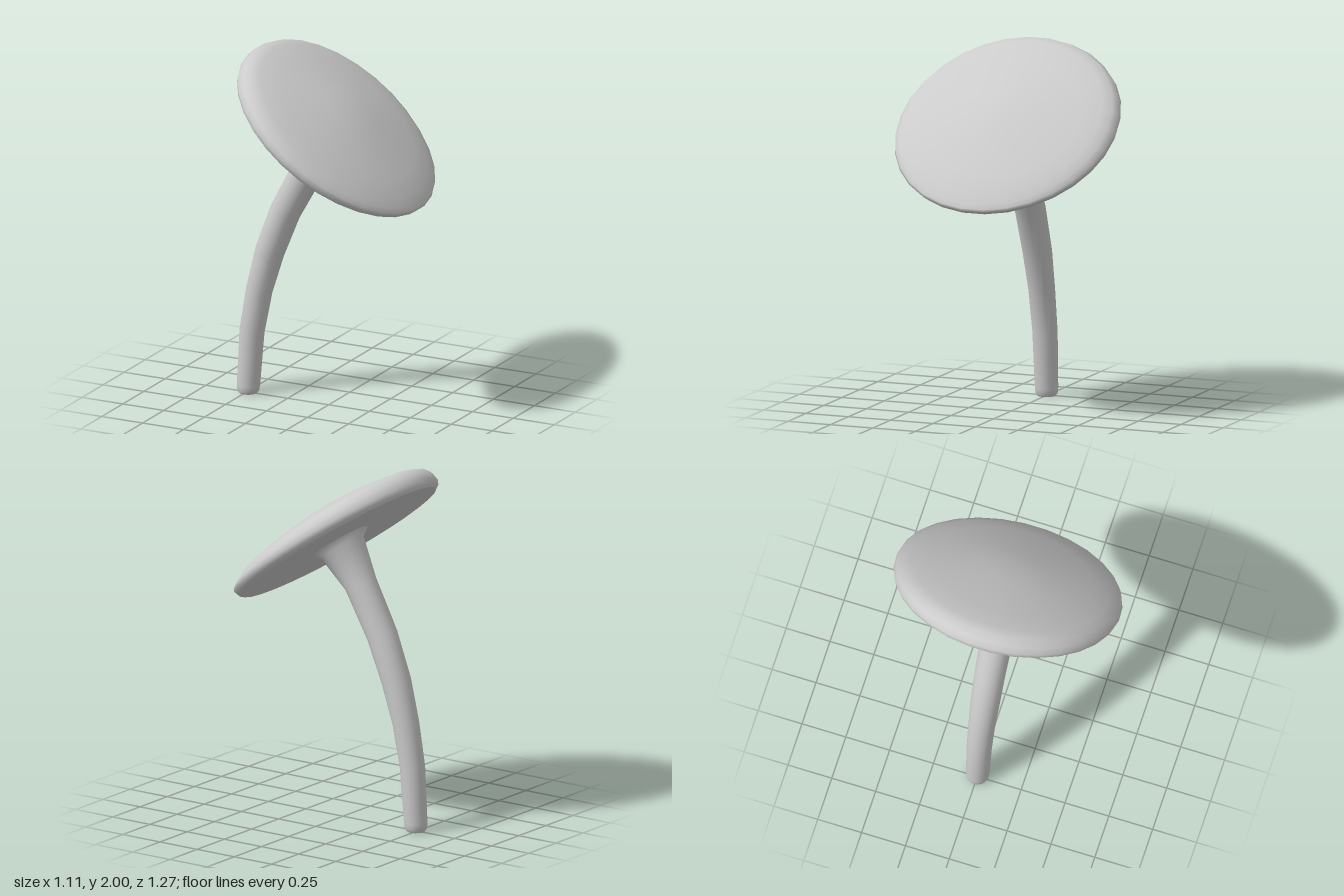
import * as THREE from 'three';
import { mergeVertices } from 'three/addons/utils/BufferGeometryUtils.js';

const material = new THREE.MeshStandardMaterial({ color: 0xcccccc });

// Weld seams and recompute smooth normals
function smooth(geometry) {
  geometry.deleteAttribute('uv');
  geometry.deleteAttribute('normal');
  const welded = mergeVertices(geometry, 1e-4);
  welded.computeVertexNormals();
  return welded;
}

function part(name, geometry) {
  const mesh = new THREE.Mesh(geometry, material);
  mesh.name = name;
  return mesh;
}

function lathe(points) {
  return new THREE.LatheGeometry(points.map(([r, y]) => new THREE.Vector2(r, y)), 30);
}

// Tilted cap: domed top, rounded rim, flat underside
function createCap() {
  const cap = new THREE.Group();
  cap.name = 'cap';
  const dome = lathe([
    [0.602, -0.045], [0.622, -0.03], [0.633, -0.005], [0.626, 0.022], [0.6, 0.046],
    [0.55, 0.07], [0.45, 0.094], [0.32, 0.117], [0.16, 0.142], [0, 0.152],
  ]);
  // The raised side is a little fuller than the lowered side
  const p = dome.attributes.position;
  for (let i = 0; i < p.count; i++) {
    const lift = THREE.MathUtils.clamp(p.getY(i) / 0.045, 0, 1);
    p.setY(i, p.getY(i) - 0.045 * p.getX(i) * lift);
  }
  cap.add(part('capTop', smooth(dome)));
  cap.add(part('capUnderside', smooth(lathe([[0, -0.045], [0.602, -0.045]]))));
  cap.position.set(0.05, 1.58, 0);
  cap.rotation.z = -THREE.MathUtils.degToRad(36.9);
  return cap;
}

// Curved stem: round sections [x, y, radius, lean in degrees], top to bottom
function createStem() {
  const sections = [
    [0.032, 1.556, 0.185, 37], [0.024, 1.545, 0.177, 37], [0.0, 1.515, 0.13, 38],
    [-0.12, 1.333, 0.09, 29], [-0.265, 1.066, 0.085, 25], [-0.36, 0.823, 0.081, 18],
    [-0.423, 0.598, 0.073, 11], [-0.468, 0.357, 0.069, 5], [-0.49, 0.045, 0.064, 2],
    [-0.491, 0.015, 0.06, 0], [-0.491, 0, 0.05, 0],
  ];
  const sides = 20;
  const tube = new THREE.CylinderGeometry(1, 1, 1, sides, sections.length - 1, true);
  const p = tube.attributes.position;
  for (let i = 0; i < p.count; i++) {
    const [x, y, r, lean] = sections[Math.floor(i / (sides + 1))];
    const a = THREE.MathUtils.degToRad(lean);
    const u = p.getX(i) * r;
    p.setXYZ(i, x + u * Math.cos(a), y - u * Math.sin(a), p.getZ(i) * r);
  }
  const stem = new THREE.Group();
  stem.name = 'stem';
  const foot = new THREE.CircleGeometry(0.05, sides).rotateX(Math.PI / 2).translate(-0.491, 0, 0);
  stem.add(part('stemShaft', smooth(tube)), part('stemFoot', foot));
  return stem;
}

export function createModel() {
  const model = new THREE.Group();
  model.name = 'mushroom';
  model.add(createCap(), createStem());
  return model;
}
